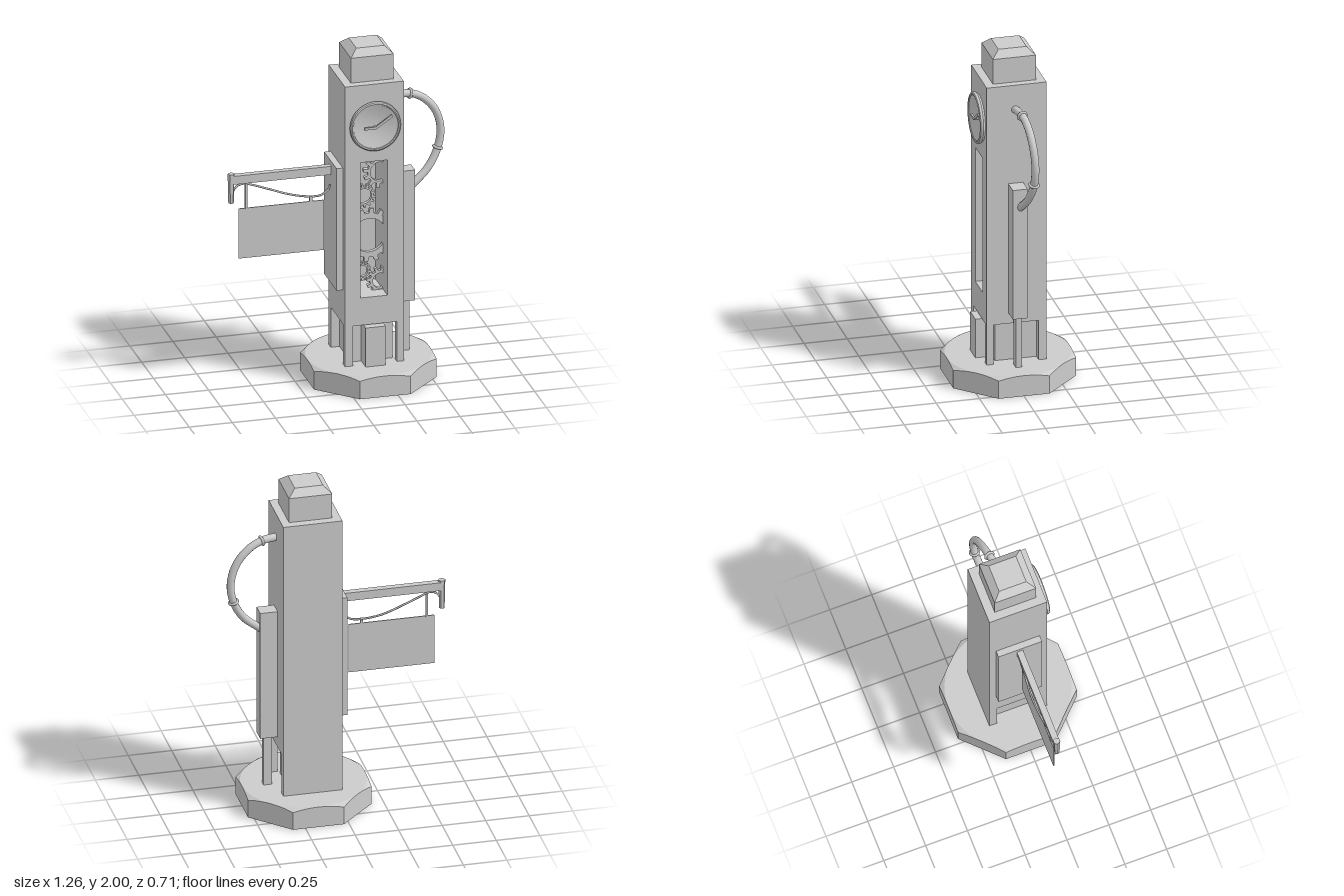
import * as THREE from 'three';
import { toCreasedNormals } from 'three/addons/utils/BufferGeometryUtils.js';

const grey = new THREE.MeshStandardMaterial({ color: 0xcccccc, side: THREE.DoubleSide });
const flat = new THREE.MeshStandardMaterial({ color: 0xcccccc, flatShading: true });

export function createModel() {
  const model = new THREE.Group();
  const add = (name, geo, mat = grey) => {
    const mesh = new THREE.Mesh(geo, mat);
    mesh.name = name;
    model.add(mesh);
    return mesh;
  };
  // Box given by its minimum and maximum on each axis
  const box = (name, x0, x1, y0, y1, z0, z1) =>
    add(name, new THREE.BoxGeometry(x1 - x0, y1 - y0, z1 - z0))
      .position.set((x0 + x1) / 2, (y0 + y1) / 2, (z0 + z1) / 2);
  const rect = (T, x0, x1, y0, y1) => {
    const s = new T();
    s.moveTo(x0, y0); s.lineTo(x1, y0); s.lineTo(x1, y1); s.lineTo(x0, y1); s.closePath();
    return s;
  };
  const vec = p => new THREE.Vector3(...p);
  const tube = (name, pts, r, n, sides) =>
    add(name, new THREE.TubeGeometry(new THREE.CatmullRomCurve3(pts.map(vec)), n, r, sides));

  // Octagonal base, its corners bevelled by a cone
  add('base', baseGeometry(0.355, 0.125), flat).position.x = 0.175;

  // Tower shaft with a deep window niche
  const front = rect(THREE.Shape, -0.005, 0.335, 0.365, 1.81);
  front.holes.push(rect(THREE.Path, 0.085, 0.24, 0.53, 1.345));
  add('shaftFront', new THREE.ExtrudeGeometry(front, { depth: 0.25, bevelEnabled: false }))
    .position.z = -0.085;
  box('shaftBack', -0.005, 0.335, 0.365, 1.81, -0.18, -0.085);

  // Foot of the tower: recessed core, back wall, corner pillars and door
  box('footCore', 0.045, 0.285, 0.12, 0.365, -0.135, 0.105);
  box('footBack', -0.005, 0.335, 0.12, 0.365, -0.18, -0.135);
  box('leftPillar', 0.295, 0.335, 0.12, 0.365, 0.125, 0.165);
  box('rightPillar', -0.005, 0.042, 0.12, 0.365, 0.125, 0.165);
  box('door', 0.105, 0.22, 0.12, 0.36, 0.1, 0.2);

  // Cap with a bevelled top
  box('cap', 0.042, 0.29, 1.81, 1.96, -0.13, 0.117);
  const roof = new THREE.CylinderGeometry(0.081 * Math.SQRT2, 0.124 * Math.SQRT2, 0.04, 4);
  add('capRoof', roof.rotateY(Math.PI / 4), flat).position.set(0.166, 1.98, -0.0065);

  // Clock: rim and concave dial, with two hands
  const dial = [[0.14, 0], [0.148, 0.012], [0.145, 0.026], [0.138, 0.031], [0.131, 0.029],
    [0.129, 0.025], [0.09, 0.014], [0.05, 0.007], [0, 0.004]].map(p => new THREE.Vector2(...p));
  const clock = add('clock', toCreasedNormals(new THREE.LatheGeometry(dial, 40), 0.6));
  clock.rotation.x = Math.PI / 2;
  clock.position.set(0.166, 1.562, 0.165);
  const hand = (name, dx, dy, w) => {
    const length = Math.hypot(dx, dy);
    const m = add(name, new THREE.BoxGeometry(length, w, 0.01));
    m.position.set(0.166 + dx / 2, 1.557 + dy / 2, 0.193);
    m.rotation.z = Math.atan2(dy, dx);
  };
  hand('hourHand', -0.065, 0, 0.014);
  hand('minuteHand', 0.095, 0.065, 0.014);
  const hub = add('handHub', new THREE.CylinderGeometry(0.007, 0.007, 0.03, 10).rotateX(Math.PI / 2));
  hub.position.set(0.166, 1.557, 0.183);

  // Train of ring gears: x, y, outer, root and hole radius, teeth
  [[0.225, 1.24, 0.098, 0.072, 0.058, 12], [0.13, 1.1, 0.07, 0.055, 0.045, 14],
    [0.16, 0.863, 0.16, 0.133, 0.1, 16], [0.12, 0.65, 0.054, 0.042, 0.033, 12],
    [0.228, 0.583, 0.082, 0.062, 0.046, 12]].forEach(([x, y, ro, rr, rh, n]) =>
    add('gear', gearGeometry(ro, rr, rh, n)).position.set(x, y, 0.045));

  // Wall plate, arm and end piece of the sign bracket
  box('wallPlate', -0.042, -0.003, 0.57, 1.305, -0.14, 0.12);
  box('signArm', -0.615, -0.04, 1.225, 1.275, -0.03, 0.007);
  const end = new THREE.CylinderGeometry(0.02, 0.016, 0.175, 6).rotateY(Math.PI / 6);
  add('armEnd', end, flat).position.set(-0.617, 1.197, -0.011);
  const collar = new THREE.CylinderGeometry(0.02, 0.02, 0.025, 6).rotateY(Math.PI / 6);
  add('armEndCap', collar, flat).position.set(-0.616, 1.272, -0.011);

  // Hanging sign, its rods and the drooping cable
  box('sign', -0.573, -0.08, 0.77, 1.07, -0.015, -0.009);
  box('signRod', -0.536, -0.523, 1.065, 1.228, -0.018, -0.006);
  box('signRod', -0.163, -0.148, 1.065, 1.1, -0.018, -0.006);
  tube('cable', [[-0.61, 1.17, -0.012], [-0.585, 1.205, -0.012], [-0.545, 1.217, -0.014],
    [-0.49, 1.2, -0.022], [-0.4, 1.165, -0.028], [-0.27, 1.117, -0.028], [-0.17, 1.098, -0.018],
    [-0.1, 1.1, -0.012], [-0.06, 1.125, -0.012], [-0.035, 1.165, -0.012]], 0.006, 48, 6);

  // Side cabinet on its post
  box('cabinet', 0.333, 0.435, 0.43, 1.215, -0.045, 0.04);
  box('cabinetPost', 0.36, 0.41, 0.12, 0.43, -0.02, 0.016);

  // Curved pipe with collars
  const path = [[0.32, 1.663, 0.003], [0.42, 1.657, -0.018], [0.5, 1.618, -0.03],
    [0.572, 1.535, -0.039], [0.605, 1.42, -0.045], [0.588, 1.305, -0.042],
    [0.527, 1.195, -0.027], [0.42, 1.1, -0.006]];
  tube('pipe', path, 0.022, 40, 12);
  const curve = new THREE.CatmullRomCurve3(path.map(vec));
  [1 / 7, 5 / 7].forEach(t => {
    const ring = add('pipeCollar', new THREE.TorusGeometry(0.024, 0.008, 8, 20));
    const p = curve.getPoint(t);
    ring.position.copy(p);
    ring.lookAt(p.clone().add(curve.getTangent(t)));
  });
  return model;
}

// Ring gear with tapered teeth
function gearGeometry(outer, root, hole, teeth) {
  const shape = new THREE.Shape();
  const step = Math.PI * 2 / teeth;
  for (let i = 0; i < teeth; i++) {
    [[0, root], [0.45, root], [0.55, outer], [0.9, outer]].forEach(([f, r], k) => {
      const a = (i + f) * step;
      shape[i + k ? 'lineTo' : 'moveTo'](Math.cos(a) * r, Math.sin(a) * r);
    });
  }
  shape.closePath();
  shape.holes.push(new THREE.Path().absarc(0, 0, hole, 0, Math.PI * 2, true));
  return new THREE.ExtrudeGeometry(shape, { depth: 0.025, bevelEnabled: false, curveSegments: 16 });
}

// Octagonal prism whose top edge dips towards each corner
function baseGeometry(apothem, height) {
  const n = 48, pos = [], index = [];
  for (let i = 0; i < n; i++) {
    const a = i / n * Math.PI * 2;
    const side = Math.round(a / (Math.PI / 4)) * Math.PI / 4;
    const r = apothem / Math.cos(a - side);
    const c = Math.cos(a), s = Math.sin(a);
    const dip = (r - apothem) * 0.6;
    pos.push(r * c, 0, r * s, r * c, height - dip, r * s, apothem * c, height, apothem * s);
  }
  pos.push(0, 0, 0, 0, height, 0);
  for (let i = 0; i < n; i++) {
    const a = i * 3, b = (i + 1) % n * 3;
    for (let k = 0; k < 2; k++) index.push(a + k, a + k + 1, b + k, b + k, a + k + 1, b + k + 1);
    index.push(a, b, n * 3, a + 2, n * 3 + 1, b + 2);
  }
  const geo = new THREE.BufferGeometry();
  geo.setAttribute('position', new THREE.Float32BufferAttribute(pos, 3));
  geo.setIndex(index);
  geo.computeVertexNormals();
  return geo;
}
